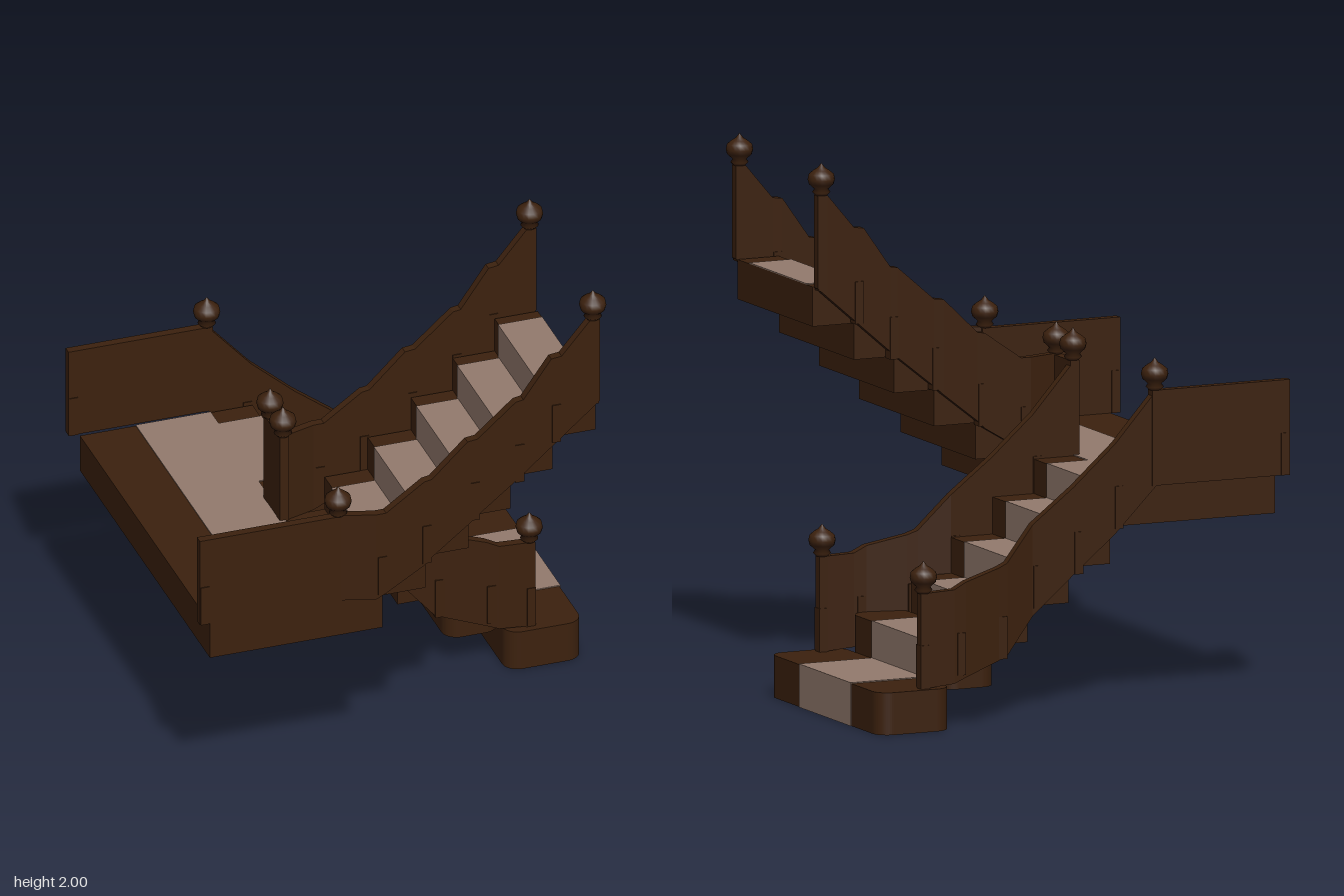
import * as THREE from 'three';

export function createModel() {
  const model = new THREE.Group();
  model.name = 'staircase';
  const wood = new THREE.MeshStandardMaterial({ color: 0x3c210e });
  wood.name = 'dark wood';
  const carpet = new THREE.MeshStandardMaterial({ color: 0x937a6d });
  carpet.name = 'carpet';

  const add = (name, geometry, material = wood) => {
    const mesh = new THREE.Mesh(geometry, material);
    mesh.name = name;
    model.add(mesh);
    return mesh;
  };
  // box given by its limits on each axis
  const box = (name, x0, x1, y0, y1, z0, z1, material) =>
    add(name, new THREE.BoxGeometry(x1 - x0, y1 - y0, z1 - z0), material)
      .position.set((x0 + x1) / 2, (y0 + y1) / 2, (z0 + z1) / 2);

  // slab with rounded vertical corners
  const roundedStep = (name, x0, x1, y0, y1, z0, z1, r) => {
    const s = new THREE.Shape();
    s.moveTo(x0 + r, -z1);
    s.lineTo(x1 - r, -z1);
    s.absarc(x1 - r, -z1 + r, r, -Math.PI / 2, 0);
    s.lineTo(x1, -z0 - r);
    s.absarc(x1 - r, -z0 - r, r, 0, Math.PI / 2);
    s.lineTo(x0 + r, -z0);
    s.absarc(x0 + r, -z0 - r, r, Math.PI / 2, Math.PI);
    s.lineTo(x0, -z1 + r);
    s.absarc(x0 + r, -z1 + r, r, Math.PI, Math.PI * 1.5);
    const g = new THREE.ExtrudeGeometry(s, { depth: y1 - y0, bevelEnabled: false, curveSegments: 6 });
    g.rotateX(-Math.PI / 2);
    add(name, g).position.y = y0;
  };

  const T = 0.004; // carpet thickness
  const edges = [-0.315, -0.15, 0.02, 0.19, 0.355, 0.52, 0.69];

  // lower flight: two wide rounded steps, then plain ones up to the landing
  const lowerX = [0.87, 0.57, 0.355, 0.19, 0.02, -0.15, -0.315];
  const lowerTop = [0.16, 0.3, 0.435, 0.57, 0.71, 0.84];
  lowerTop.forEach((top, i) => {
    const x1 = lowerX[i], x0 = lowerX[i + 1];
    const below = i ? lowerTop[i - 1] : 0;
    const bottom = i ? below - 0.02 : 0;
    if (i === 0) roundedStep('bottomStep', x0, x1, bottom, top, -0.84, 0.12, 0.06);
    else if (i === 1) roundedStep('secondStep', x0, x1, bottom, top, -0.775, 0.05, 0.06);
    else box('lowerStep', x0, x1, bottom, top, -0.69, -0.03);
    box('lowerTreadCarpet', x0, x1 + T, top, top + T, -0.6, -0.15, carpet);
    box('lowerRiserCarpet', x1, x1 + T, below, top, -0.6, -0.15, carpet);
  });

  // landing
  box('landing', -0.83, -0.315, 0.69, 0.84, -0.69, 0.77);
  box('landingCarpet', -0.61, -0.315, 0.84, 0.84 + T, -0.69, 0.737, carpet);

  // upper flight, with a runner that widens a little on the way up
  for (let i = 0; i < 6; i++) {
    const x0 = edges[i], x1 = edges[i + 1], top = 0.84 + i * 0.138;
    const half = 0.2 + i * 0.01, zc = 0.42;
    box('upperStep', x0, x1, top - 0.15, top, 0.12, 0.77);
    box('upperTreadCarpet', x0 - T, x1, top, top + T, zc - half, zc + half, carpet);
    if (i) box('upperRiserCarpet', x0 - T, x0, top - 0.138, top, zc - half, zc + half, carpet);
  }

  // solid balustrade swept through sections [x, z, bottom, top]
  const H = 0.017;
  const balustrade = (name, sections) => {
    const rings = sections.map(([x, z, b, t]) =>
      [[x, b, z - H], [x, b, z + H], [x, t, z + H], [x, t, z - H]]);
    const pos = [];
    const quad = (a, b, c, d) => pos.push(...a, ...b, ...c, ...a, ...c, ...d);
    for (let i = 0; i < rings.length - 1; i++) {
      const p = rings[i], q = rings[i + 1];
      for (let k = 0; k < 4; k++) quad(p[k], q[k], q[(k + 1) % 4], p[(k + 1) % 4]);
    }
    const [a, b, c, d] = rings[0], [e, f, g, h] = rings[rings.length - 1];
    quad(a, b, c, d);
    quad(h, g, f, e);
    const geo = new THREE.BufferGeometry();
    geo.setAttribute('position', new THREE.Float32BufferAttribute(pos, 3));
    geo.computeVertexNormals();
    add(name, geo);
  };

  // newel post with a turned, pointed ball on top
  const finial = new THREE.LatheGeometry([
    [0, -0.005], [0.022, 0], [0.034, 0.012], [0.026, 0.024], [0.046, 0.042], [0.051, 0.06],
    [0.047, 0.08], [0.03, 0.094], [0.014, 0.104], [0, 0.122],
  ].map(([x, y]) => new THREE.Vector2(x, y)), 16);
  const newel = (x, z, y0, y1) => {
    box('newelPost', x - 0.018, x + 0.018, y0, y1, z - 0.018, z + 0.018);
    add('newelFinial', finial).position.set(x, y1, z);
  };
  // short raised block on both faces of a balustrade
  const block = (x, z, y) => box('balusterBlock', x - 0.017, x + 0.017, y, y + 0.16, z - 0.021, z + 0.021);

  // profiles as [x, sideways offset, bottom, top]
  const lowerProfile = [
    [-0.32, 0.355, 0.84, 1.2], [-0.15, 0.355, 0.67, 1.01], [0.02, 0.355, 0.53, 0.86],
    [0.19, 0.355, 0.385, 0.73], [0.31, 0.388, 0.25, 0.6], [0.35, 0.396, 0.235, 0.585],
    [0.5, 0.432, 0.19, 0.55], [0.55, 0.436, 0.17, 0.525], [0.69, 0.44, 0.16, 0.52],
  ];
  const upperProfile = [
    [-0.32, 0.31, 0.84, 1.205], [-0.19, 0.35, 0.84, 1.205], [-0.15, 0.35, 0.86, 1.205],
    [0, 0.35, 0.95, 1.31], [0.03, 0.35, 0.98, 1.315], [0.17, 0.351, 1.09, 1.45],
    [0.21, 0.351, 1.125, 1.455], [0.36, 0.352, 1.245, 1.585], [0.39, 0.352, 1.27, 1.59],
    [0.5, 0.353, 1.365, 1.745], [0.54, 0.354, 1.4, 1.75], [0.65, 0.355, 1.495, 1.88],
    [0.69, 0.355, 1.53, 1.88],
  ];
  const lowerBlocks = [[-0.165, 0.355, 0.69], [0, 0.355, 0.53], [0.17, 0.355, 0.415],
    [0.33, 0.392, 0.24], [0.52, 0.434, 0.2], [0.675, 0.44, 0.165]];
  const upperBlocks = [[-0.165, 0.35, 0.86], [0.01, 0.35, 0.96], [0.2, 0.351, 1.11],
    [0.375, 0.352, 1.24], [0.52, 0.354, 1.385]];

  for (const side of [-1, 1]) {
    const lowZ = (o) => -0.365 + side * o, upZ = (o) => 0.445 + side * o;
    balustrade('lowerBalustrade', lowerProfile.map(([x, o, b, t]) => [x, lowZ(o), b, t]));
    balustrade('upperBalustrade', upperProfile.map(([x, o, b, t]) => [x, upZ(o), b, t]));
    lowerBlocks.forEach(([x, o, y]) => block(x, lowZ(o), y));
    upperBlocks.forEach(([x, o, y]) => block(x, upZ(o), y));
    newel(-0.32, lowZ(0.355), 0.84, 1.2);
    newel(-0.32, upZ(0.31), 0.84, 1.2);
    newel(0.672, lowZ(0.44), 0.16, 0.52);
    newel(0.668, upZ(0.355), 1.52, 1.88);
  }

  // landing walls and the short wall between the two flights
  for (const z of [-0.72, 0.755]) {
    box('landingWall', -0.87, -0.32, 0.84, 1.2, z - H, z + H);
    block(-0.85, z, 0.84);
  }
  box('centreWall', -0.337, -0.303, 0.69, 1.2, -0.01, 0.135);

  return model;
}
